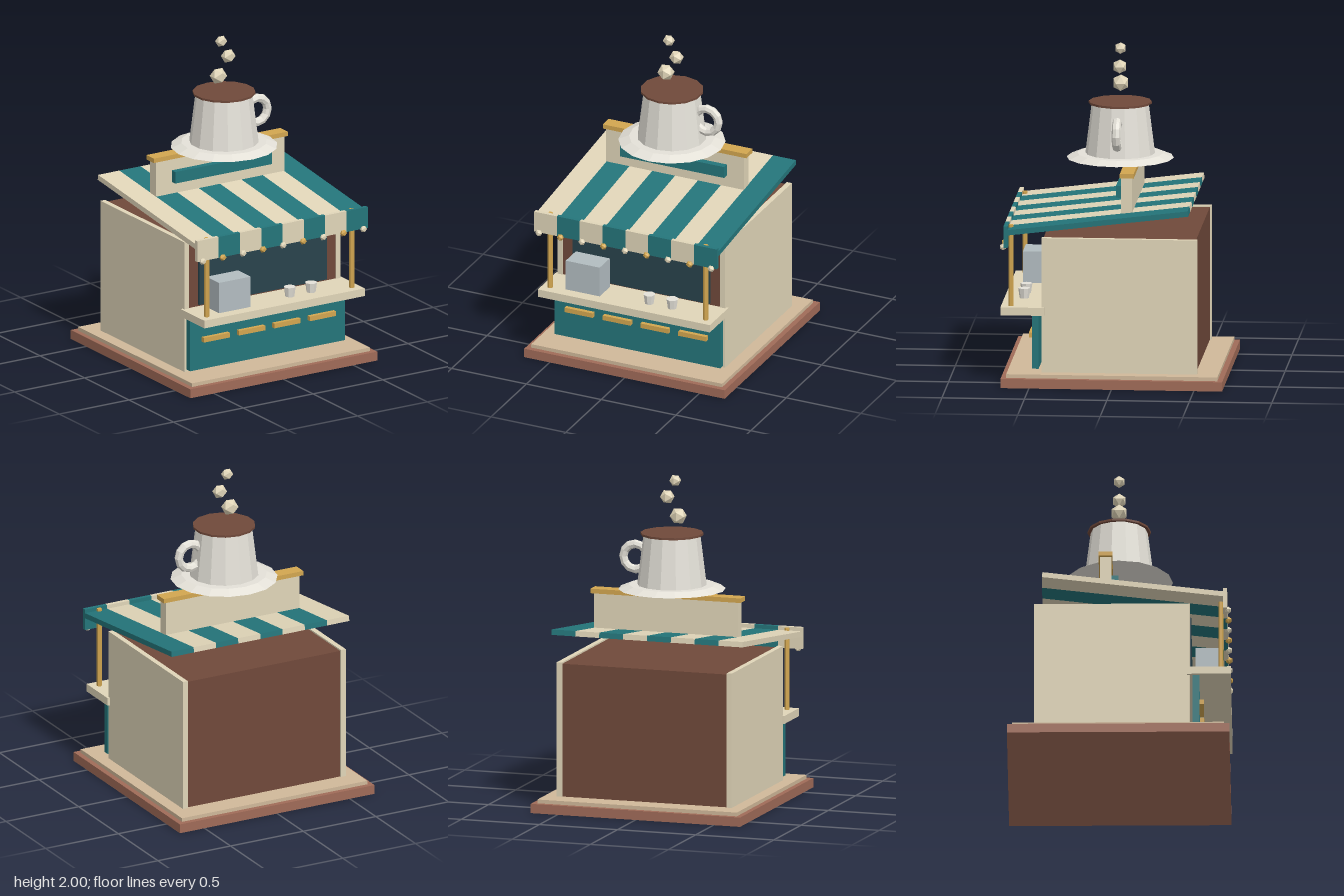
import * as THREE from 'three';

const C = {
  cream: 0xe0d5b8, tan: 0xd0b899, brick: 0xa06b58, brown: 0x70493a, teal: 0x24757a,
  gold: 0xd2a650, dark: 0x29434c, steel: 0xb2bcc0, china: 0xe4e1d8,
};

export function createModel() {
  const root = new THREE.Group();
  const mats = {};
  const mat = (key) => (mats[key] ??= new THREE.MeshStandardMaterial({ color: C[key], flatShading: true }));

  function add(name, geometry, color, x = 0, y = 0, z = 0) {
    const mesh = new THREE.Mesh(geometry, mat(color));
    mesh.name = name;
    mesh.position.set(x, y, z);
    root.add(mesh);
    return mesh;
  }
  // Box given by its extents on each axis
  function box(name, color, [x0, x1], [y0, y1], [z0, z1]) {
    return add(name, new THREE.BoxGeometry(x1 - x0, y1 - y0, z1 - z0), color,
      (x0 + x1) / 2, (y0 + y1) / 2, (z0 + z1) / 2);
  }
  // Upright cylinder given by its bottom and top heights
  function drum(name, color, rTop, rBottom, y0, y1, sides, x = 0, z = 0) {
    return add(name, new THREE.CylinderGeometry(rTop, rBottom, y1 - y0, sides), color, x, (y0 + y1) / 2, z);
  }

  // Plinth
  box('base', 'brick', [-0.67, 0.67], [0, 0.057], [-0.672, 0.672]);
  box('floorStep', 'tan', [-0.638, 0.638], [0.057, 0.08], [-0.64, 0.64]);

  // Kiosk body with side walls
  box('body', 'brown', [-0.527, 0.527], [0.08, 0.897], [-0.5, 0.425]);
  for (const s of [-1, 1]) {
    const wall = box('sideWall', 'cream', [-0.0165, 0.0165], [0.08, 0.906], [-0.51, 0.432]);
    wall.position.x = s * 0.5435;
  }
  box('servingWindow', 'dark', [-0.458, 0.458], [0.49, 0.86], [0.42, 0.44]);

  // Counter and its front panel
  box('frontPanel', 'teal', [-0.555, 0.555], [0.1, 0.43], [0.45, 0.49]);
  box('counter', 'cream', [-0.575, 0.575], [0.43, 0.479], [0.415, 0.68]);
  for (let i = 0; i < 4; i++) {
    add('panelTrim', new THREE.BoxGeometry(0.187, 0.03, 0.027), 'gold', (i - 1.5) * 0.253, 0.29, 0.5025);
  }

  // Items on the counter
  box('coffeeMachine', 'steel', [-0.423, -0.196], [0.479, 0.672], [0.465, 0.607]);
  for (const x of [0.114, 0.267]) drum('paperCup', 'china', 0.037, 0.028, 0.479, 0.54, 8, x, 0.56);

  // Posts
  for (const s of [-1, 1]) drum('post', 'gold', 0.016, 0.016, 0.479, 0.98, 6, s * 0.52, 0.62);

  // Striped sloping awning with hanging valance
  const stripe = 1.222 / 8;
  for (let i = 0; i < 8; i++) {
    const x = (i - 3.5) * stripe;
    const color = i % 2 ? 'teal' : 'cream';
    const slat = add('awningStripe', new THREE.BoxGeometry(stripe, 0.033, 1.103), color, x, 1.012, 0.088);
    slat.rotation.x = 0.121;
    add('valance', new THREE.BoxGeometry(stripe, 0.133, 0.025), color, x, 0.919, 0.646);
  }

  // String of bulbs
  for (let i = 0; i < 9; i++) {
    add('bulb', new THREE.IcosahedronGeometry(0.022, 0), i % 2 ? 'gold' : 'cream', (i - 4) * 0.144, 0.852, 0.664);
  }

  // Roof sign
  box('signBoard', 'cream', [-0.46, 0.46], [1.045, 1.267], [-0.11, -0.043]);
  box('signCap', 'gold', [-0.48, 0.48], [1.265, 1.293], [-0.12, -0.036]);
  box('signPlate', 'teal', [-0.347, 0.347], [1.12, 1.193], [-0.043, -0.002]);

  // Giant cup and saucer
  drum('saucer', 'china', 0.26, 0.325, 1.303, 1.33, 16);
  drum('cup', 'china', 0.173, 0.211, 1.33, 1.636, 14);
  drum('coffee', 'brown', 0.191, 0.191, 1.635, 1.648, 14);
  add('cupHandle', new THREE.TorusGeometry(0.078, 0.027, 8, 12), 'china', 0.233, 1.485, 0);

  // Steam puffs
  for (const [x, y, r] of [[-0.04, 1.752, 0.053], [0.03, 1.866, 0.045], [-0.021, 1.969, 0.037]]) {
    add('steamPuff', new THREE.IcosahedronGeometry(r, 0), 'cream', x, y, 0);
  }

  return root;
}
